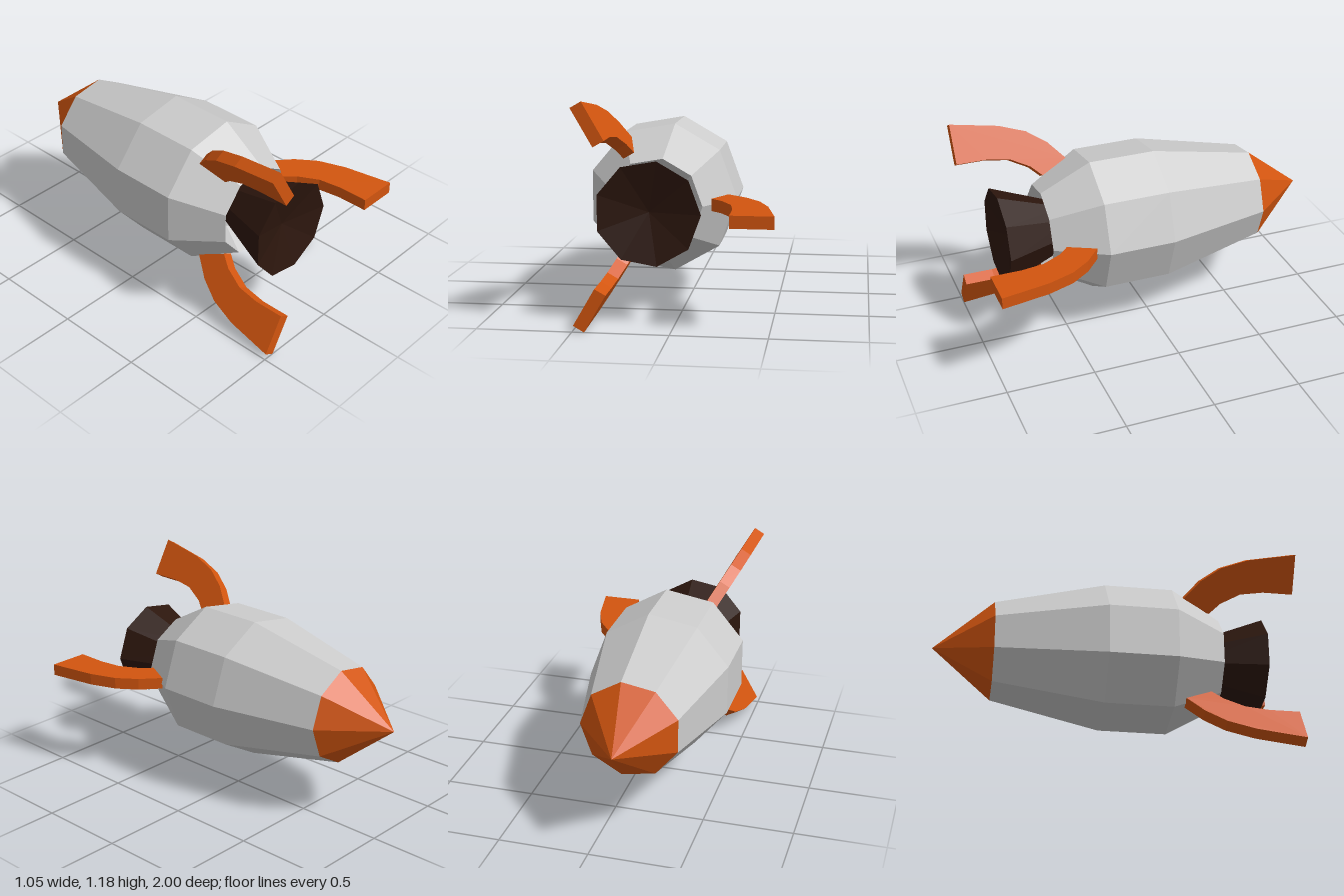
import * as THREE from 'three';

const SIDES = 9;
const AXIS = { x: -0.135, y: 0.585 };

const paint = (color) => new THREE.MeshStandardMaterial({ color, flatShading: true });

// Nine-sided part turned around the z axis; profile points are [radius, z], from front to back
function turned(name, profile, material) {
  const points = profile.map(([r, z]) => new THREE.Vector2(r, -z));
  const geometry = new THREE.LatheGeometry(points, SIDES, Math.PI / 2);
  geometry.rotateX(-Math.PI / 2);
  const mesh = new THREE.Mesh(geometry, material);
  mesh.name = name;
  return mesh;
}

// Curved fin outline in [radius, z], extruded to a constant thickness
function finGeometry() {
  const thickness = 0.066;
  const outer = [[0.37, 0.38], [0.475, 0.47], [0.555, 0.58], [0.61, 0.73], [0.66, 1.0]];
  const inner = [[0.435, 1.0], [0.435, 0.83], [0.415, 0.7], [0.355, 0.59], [0.295, 0.53]];
  const shape = new THREE.Shape([...outer, ...inner].map(([r, z]) => new THREE.Vector2(r, z)));
  const geometry = new THREE.ExtrudeGeometry(shape, { depth: thickness, bevelEnabled: false });
  geometry.translate(0, 0, -thickness / 2);
  geometry.rotateX(Math.PI / 2);
  return geometry;
}

export function createModel() {
  const rocket = new THREE.Group();
  rocket.name = 'rocket';
  const grey = paint(0xcccccc);
  const orange = paint(0xd2550f);
  const dark = paint(0x2c160d);

  const hull = new THREE.Group();
  hull.name = 'hull';
  hull.position.set(AXIS.x, AXIS.y, 0);
  rocket.add(hull);

  // Body with a recessed tail
  hull.add(turned('body', [
    [0, 0.46], [0.16, 0.46], [0.255, 0.595], [0.412, 0.315], [0.412, -0.065], [0.277, -0.67],
  ], grey));

  // Pointed nose
  hull.add(turned('noseCone', [[0.277, -0.67], [0, -1]], orange));

  // Flared nozzle with a shallow hollow mouth
  hull.add(turned('nozzle', [[0, 0.78], [0.277, 0.842], [0.13, 0.46]], dark));

  // Three fins that also serve as legs
  const fin = finGeometry();
  for (let i = 0; i < 3; i++) {
    const mesh = new THREE.Mesh(fin, orange);
    mesh.name = `fin${i + 1}`;
    mesh.rotation.z = (i * Math.PI * 2) / 3;
    hull.add(mesh);
  }

  return rocket;
}
